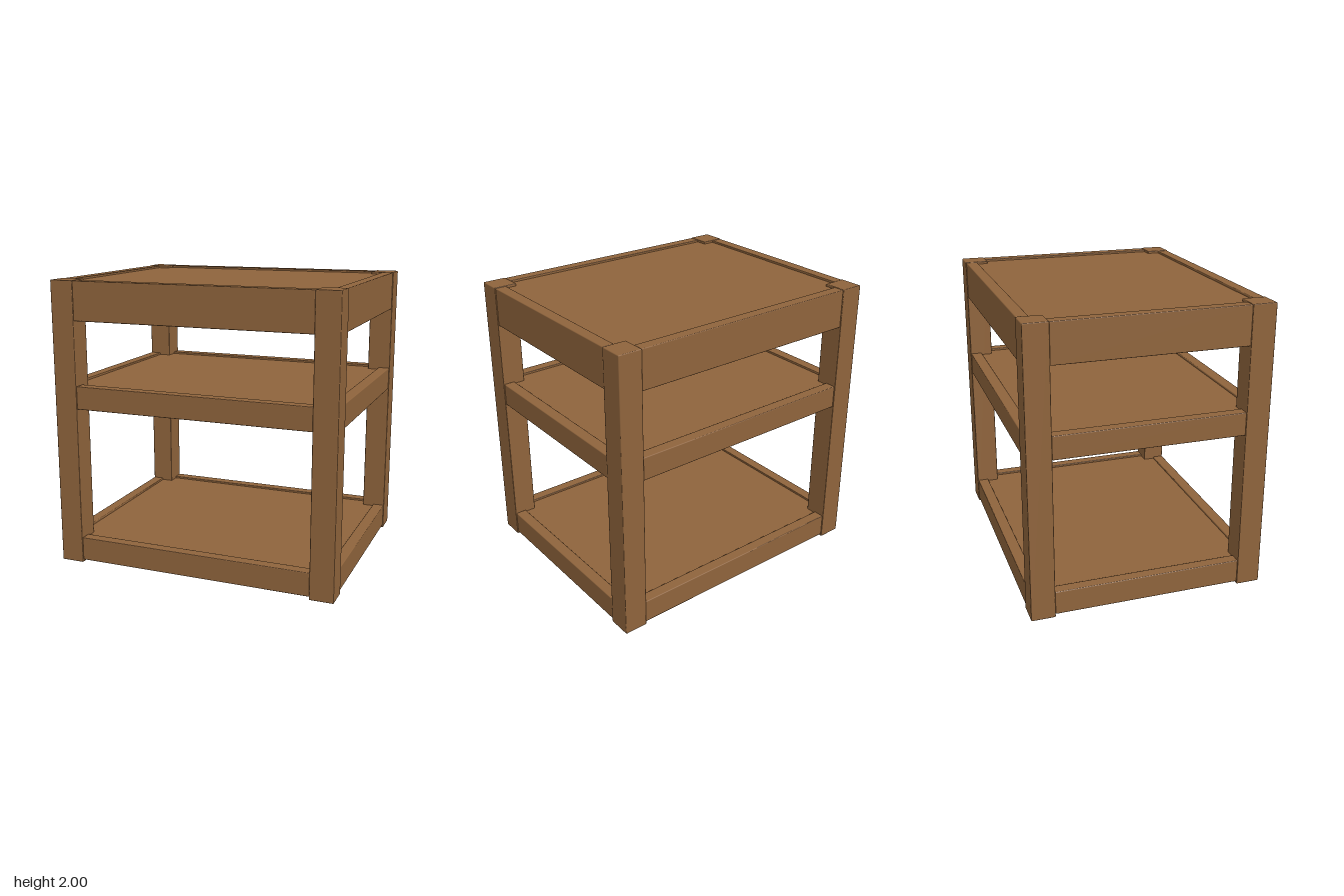
import * as THREE from 'three';
import { RoundedBoxGeometry } from 'three/addons/geometries/RoundedBoxGeometry.js';

export function createModel() {
  const model = new THREE.Group();
  model.name = 'sideTable';

  const wood = new THREE.MeshStandardMaterial({ color: 0x8f643c });
  wood.name = 'brown wood';
  const metal = new THREE.MeshStandardMaterial({ color: 0x4a4c50 });
  metal.name = 'dark grey metal';

  const HX = 1, HZ = 0.815;      // outer half width and depth
  const LEG = 0.165, RAIL = 0.08;
  const INSET = 0.004;           // rails sit just behind the leg faces

  function add(parent, name, geometry, material, x, y, z) {
    const mesh = new THREE.Mesh(geometry, material);
    mesh.name = name;
    mesh.position.set(x, y, z);
    parent.add(mesh);
    return mesh;
  }
  const bar = (w, h, d) => new RoundedBoxGeometry(w, h, d, 1, 0.006);

  // Four square legs, each on a small round glide
  const legGeo = bar(LEG, 1.99, LEG);
  const glideGeo = new THREE.CylinderGeometry(0.055, 0.055, 0.02, 16);
  for (const sx of [-1, 1]) for (const sz of [-1, 1]) {
    const side = (sz > 0 ? 'front' : 'back') + (sx > 0 ? 'Left' : 'Right');
    const x = sx * (HX - LEG / 2), z = sz * (HZ - LEG / 2);
    add(model, side + 'Leg', legGeo, wood, x, 1.005, z);
    add(model, side + 'Glide', glideGeo, metal, x, 0.01, z);
  }

  // A tier is a frame of four rails round a slightly recessed panel
  function addTier(name, bottom, top) {
    const tier = new THREE.Group();
    tier.name = name;
    const h = top - bottom, y = (top + bottom) / 2;
    const longRail = bar(2 * (HX - LEG), h, RAIL);
    const shortRail = bar(RAIL, h, 2 * (HZ - LEG));
    for (const s of [-1, 1]) {
      add(tier, s > 0 ? 'frontRail' : 'backRail', longRail, wood,
        0, y, s * (HZ - INSET - RAIL / 2));
      add(tier, s > 0 ? 'leftRail' : 'rightRail', shortRail, wood,
        s * (HX - INSET - RAIL / 2), y, 0);
    }
    const px = HX - INSET - RAIL, pz = HZ - INSET - RAIL;
    add(tier, 'panel', new THREE.BoxGeometry(2 * px, 0.04, 2 * pz), wood, 0, top - 0.035, 0);

    // Corner bolts beneath the panel, pointing at the inner leg corners
    const boltGeo = new THREE.CylinderGeometry(0.02, 0.02, 0.05, 10).rotateX(Math.PI / 2);
    for (const sx of [-1, 1]) for (const sz of [-1, 1]) {
      const bolt = add(tier, 'cornerBolt', boltGeo, metal,
        sx * (HX - LEG - 0.005), y - 0.03, sz * (HZ - LEG - 0.005));
      bolt.rotation.y = sx * sz * Math.PI / 4;
    }
    model.add(tier);
  }
  addTier('topTier', 1.73, 1.998);
  addTier('middleShelf', 1.125, 1.285);
  addTier('bottomShelf', 0.03, 0.195);

  return model;
}
